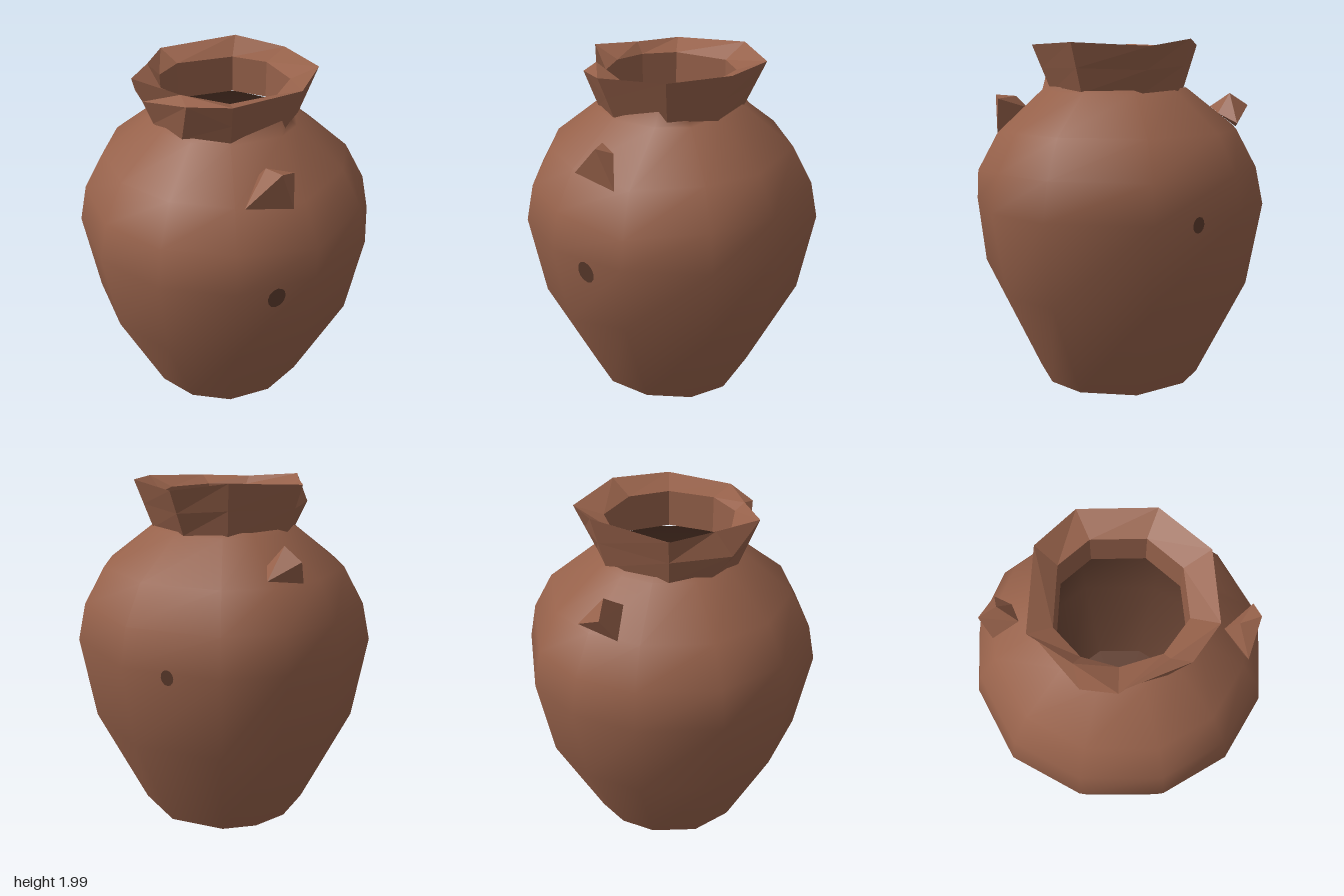
import * as THREE from 'three';
import { ConvexGeometry } from 'three/addons/geometries/ConvexGeometry.js';

const V = (x, y, z) => new THREE.Vector3(x, y, z);

// Joins closed rings of points (counted from +x towards +z, listed bottom to top)
function loft(rings, flat) {
  const n = rings[0].length, pos = [], index = [];
  rings.forEach(r => r.forEach(p => pos.push(p.x, p.y, p.z)));
  for (let i = 0; i < rings.length - 1; i++) {
    for (let j = 0; j < n; j++) {
      const k = (j + 1) % n;
      const a = i * n + j, b = i * n + k, c = b + n, d = a + n;
      index.push(b, a, d, b, d, c);
    }
  }
  let g = new THREE.BufferGeometry();
  g.setAttribute('position', new THREE.Float32BufferAttribute(pos, 3));
  g.setIndex(index);
  if (flat) g = g.toNonIndexed();
  g.computeVertexNormals();
  return g;
}

export function createModel() {
  const group = new THREE.Group();
  const clay = new THREE.MeshStandardMaterial({ color: 0x96614a });
  clay.name = 'fired clay';
  const dark = new THREE.MeshStandardMaterial({ color: 0x5f3d2e });
  dark.name = 'dark clay';

  const add = (name, geometry, material) => {
    const m = new THREE.Mesh(geometry, material);
    m.name = name;
    group.add(m);
    return m;
  };

  // Uneven twelve-sided plan of the belly
  const plan = [
    [0.84, 0.07], [0.70, 0.49], [0.39, 0.76], [-0.01, 0.85], [-0.46, 0.71], [-0.76, 0.40],
    [-0.85, -0.05], [-0.76, -0.40], [-0.54, -0.67], [-0.02, -0.86], [0.52, -0.69], [0.77, -0.39],
  ];
  const ring = (r, y) => plan.map(([x, z]) => V(x * r / 0.85, y, z * r / 0.85));

  // Body: smooth belly, with a small clay peak against the neck on the +x side
  const profile = [[0.49, 0.01], [0.77, 0.60], [0.85, 1.08], [0.805, 1.29], [0.69, 1.50], [0.42, 1.71], [0.39, 1.73]];
  const rings = profile.map(([r, y]) => ring(r, y));
  rings[1][0].set(0.80, 0.70, 0.07);
  rings[3][0].set(0.83, 1.25, 0.06);
  rings[4][0].set(0.71, 1.47, 0.05);
  rings[5][0].set(0.45, 1.72, -0.02);
  rings[6][0].set(0.42, 1.84, -0.04);
  add('body', loft(rings), clay);
  add('base', loft([ring(0, 0.01), ring(0.49, 0.01)], true), clay);

  // Inside of the pot, seen through the mouth
  const inner = [[0.355, 1.70], [0.64, 1.47], [0.79, 1.08], [0.71, 0.60], [0.44, 0.06]];
  add('interior', loft(inner.map(([r, y]) => ring(r, y))), dark);
  add('innerFloor', loft([ring(0.44, 0.06), ring(0, 0.06)], true), dark);

  // Neck: rough faceted collar flaring to an uneven lip
  const lip = [
    V(0.51, 1.97, -0.09), V(0.42, 1.95, 0.29), V(0.13, 1.955, 0.39), V(-0.16, 1.98, 0.49), V(-0.32, 1.97, 0.28),
    V(-0.49, 1.97, 0.07), V(-0.33, 2.0, -0.36), V(-0.07, 1.96, -0.52), V(0.33, 1.98, -0.39),
  ];
  const round = (r, y) => lip.map(p => {
    const a = Math.atan2(p.z, p.x);
    return V(r * Math.cos(a), y, r * Math.sin(a));
  });
  const foot = round(0.41, 1.71);
  const collar = lip.map((p, i) => foot[i].clone().lerp(p, 0.5));
  collar[2].set(0.23, 1.93, 0.43);
  collar[4].set(-0.32, 1.84, 0.37);
  add('neck', loft([foot, collar, lip, round(0.36, 1.91), round(0.36, 1.70)], true), clay);

  // Broken upper stubs of the two handles
  add('leftHandleStub', new ConvexGeometry([
    V(0.71, 1.68, 0.22), V(0.71, 1.46, 0.13), V(0.61, 1.50, 0.37), V(0.59, 1.67, 0.22),
    V(0.70, 1.66, 0.13), V(0.52, 1.60, 0.20), V(0.55, 1.45, 0.20),
  ]), clay);
  add('rightHandleStub', new ConvexGeometry([
    V(-0.60, 1.70, -0.24), V(-0.71, 1.63, -0.24), V(-0.67, 1.50, -0.16), V(-0.51, 1.62, -0.16),
    V(-0.60, 1.54, -0.38), V(-0.52, 1.59, -0.28),
  ]), clay);

  // Dark scars where the lower handle ends broke away
  const scar = (name, at, normal, w, h) => {
    const m = add(name, new THREE.CircleGeometry(1, 12), dark);
    m.scale.set(w, h, 1);
    m.position.copy(at).addScaledVector(normal.normalize(), 0.006);
    m.lookAt(m.position.clone().add(normal));
  };
  scar('leftHandleScar', V(0.765, 1.01, 0.28), V(0.95, -0.16, 0.32), 0.05, 0.068);
  scar('rightHandleScar', V(-0.27, 1.06, -0.77), V(-0.34, -0.1, -0.94), 0.035, 0.045);

  return group;
}
